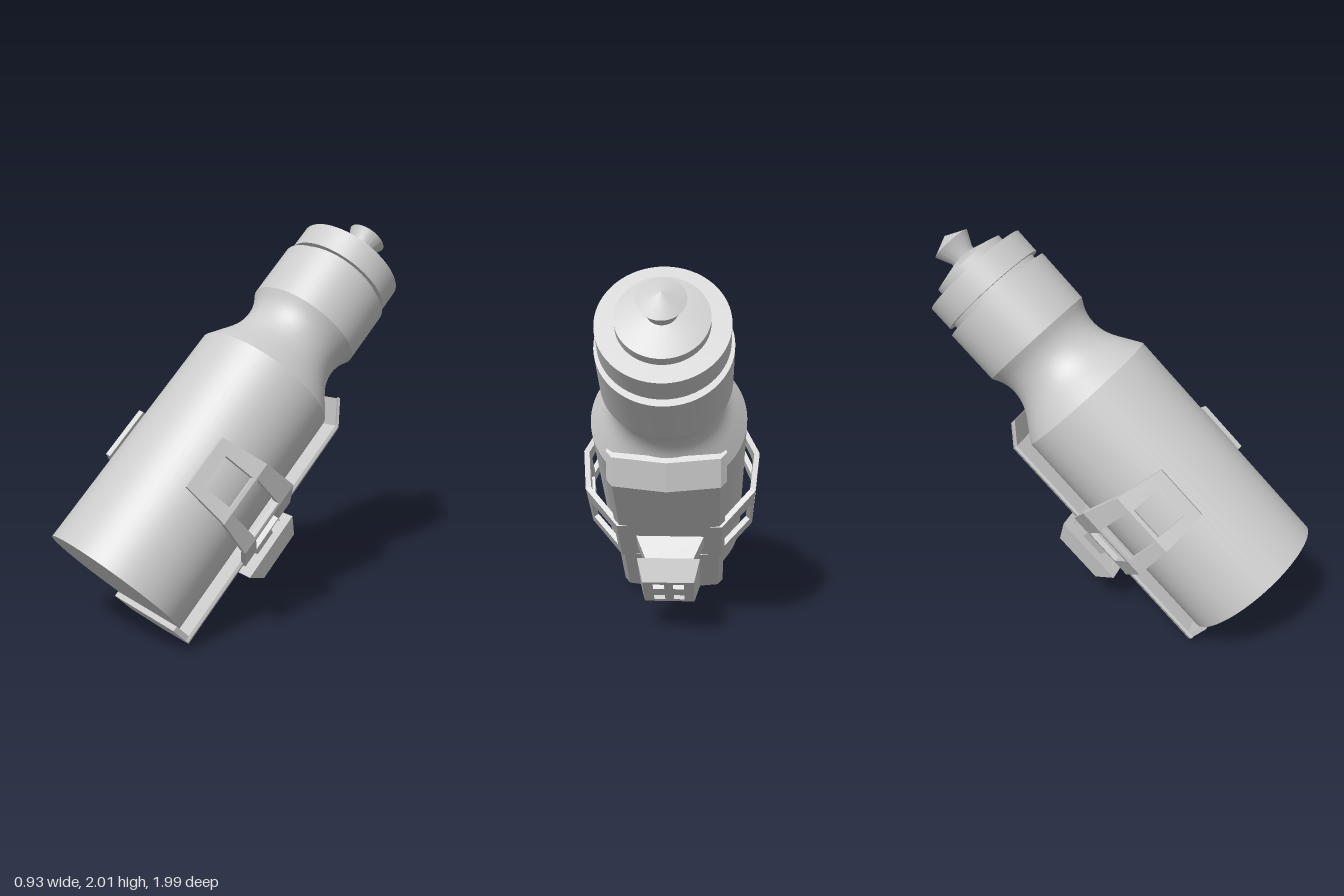
import * as THREE from 'three';
import { toCreasedNormals } from 'three/addons/utils/BufferGeometryUtils.js';

const material = new THREE.MeshStandardMaterial({ color: 0xcccccc });
const V2 = (x, y) => new THREE.Vector2(x, y);

function add(parent, name, geometry) {
  const mesh = new THREE.Mesh(geometry, material);
  mesh.name = name;
  parent.add(mesh);
  return mesh;
}

function lathe(points) {
  const g = new THREE.LatheGeometry(points.map(([r, y]) => V2(r, y)), 64);
  return toCreasedNormals(g, 0.45);
}

const shapeOf = (points) => new THREE.Shape(points.map(([x, y]) => V2(x, y)));

// Extrudes an outline (x, distance behind the bottle axis) along the bottle from y0 to y1.
function extrudeAlong(points, y0, y1) {
  const g = new THREE.ExtrudeGeometry(shapeOf(points), { depth: y1 - y0, bevelEnabled: false });
  return g.rotateX(-Math.PI / 2).translate(0, y0, 0);
}

// Box whose outer (-z) end has its own width and height.
function frustum(w0, h0, w1, h1, depth) {
  const g = new THREE.BoxGeometry(w0, h0, depth);
  const p = g.attributes.position;
  for (let i = 0; i < p.count; i++) {
    if (p.getZ(i) < 0) p.setXY(i, p.getX(i) * w1 / w0, p.getY(i) * h1 / h0);
  }
  g.computeVertexNormals();
  return g;
}

// Flat framed panel between two upright edges a and b: [x, z, yLow, yHigh].
function framedPanel(a, b, side, margins, low, high) {
  const t = 0.028;
  const start = new THREE.Vector3(a[0] * side, 0, a[1]);
  const u = new THREE.Vector3(b[0] * side, 0, b[1]).sub(start);
  const length = u.length();
  u.normalize();
  const v = new THREE.Vector3(0, 1, 0);
  const w = new THREE.Vector3().crossVectors(u, v);
  const shape = shapeOf([[0, a[2]], [length, b[2]], [length, b[3]], [0, a[3]]]);
  const u0 = margins[0], u1 = length - margins[1];
  shape.holes.push(new THREE.Path([V2(u0, low), V2(u0, high), V2(u1, high), V2(u1, low)]));
  const g = new THREE.ExtrudeGeometry(shape, { depth: t, bevelEnabled: false });
  g.translate(0, 0, side > 0 ? -t : 0);
  return g.applyMatrix4(new THREE.Matrix4().makeBasis(u, v, w).setPosition(start));
}

export function createModel() {
  const model = new THREE.Group();
  model.name = 'bottleInHolder';

  // Everything is built upright, then leaned back
  const tilted = new THREE.Group();
  tilted.name = 'tiltedAssembly';
  tilted.position.set(0, 0.307, 0.726);
  tilted.rotation.x = THREE.MathUtils.degToRad(-45.5);
  model.add(tilted);

  // Bottle with pinched neck
  const bottle = new THREE.Group();
  bottle.name = 'bottle';
  tilted.add(bottle);
  const pinch = new THREE.SplineCurve([
    V2(0.385, 1.283), V2(0.345, 1.345), V2(0.303, 1.41), V2(0.277, 1.47),
    V2(0.268, 1.54), V2(0.28, 1.605), V2(0.308, 1.66),
  ]).getPoints(18).map((p) => [p.x, p.y]);
  add(bottle, 'bottleBody', lathe([[0, 0], [0.385, 0], ...pinch, [0.309, 1.953], [0, 1.953]]));
  add(bottle, 'capSeal', lathe([[0.265, 1.94], [0.265, 2.0]]));
  add(bottle, 'cap', lathe([
    [0, 1.985], [0.293, 1.985], [0.293, 2.118], [0.205, 2.118], [0.205, 2.165], [0.066, 2.205], [0, 2.205],
  ]));
  add(bottle, 'drinkingNozzle', lathe([[0.066, 2.19], [0.07, 2.22], [0.106, 2.295], [0, 2.345]]));

  // Holder: two shallow channel plates joined by a strap
  const holder = new THREE.Group();
  holder.name = 'holder';
  tilted.add(holder);
  const channel = [
    [-0.28, 0.345], [-0.255, 0.365], [0, 0.388], [0.255, 0.365], [0.28, 0.345],
    [0.285, 0.36], [0.257, 0.392], [0, 0.42], [-0.257, 0.392], [-0.285, 0.36],
  ];
  add(holder, 'lowerPlate', extrudeAlong(channel, -0.03, 0.47));
  add(holder, 'upperPlate', extrudeAlong(channel, 0.845, 1.323));
  const tip = extrudeAlong(channel, 1.323, 1.43);
  const p = tip.attributes.position;
  for (let i = 0; i < p.count; i++) {
    if (p.getY(i) > 1.4) p.setZ(i, p.getZ(i) + 0.1);
  }
  tip.computeVertexNormals();
  add(holder, 'upperPlateTip', tip);
  add(holder, 'bottomLip', extrudeAlong([
    [-0.275, 0.25], [0.275, 0.25], [0.275, 0.36], [0.255, 0.385], [0, 0.41], [-0.255, 0.385], [-0.275, 0.36],
  ], -0.03, -0.002));
  add(holder, 'strap', new THREE.BoxGeometry(0.54, 0.405, 0.025)).position.set(0, 0.648, -0.385);

  // Side arms: three framed panels on each side
  const edges = [
    [0.367, 0.265, 0.51, 0.8], [0.467, 0.035, 0.48, 0.837],
    [0.44, -0.2, 0.455, 0.87], [0.27, -0.397, 0.445, 0.85],
  ];
  const windows = [[0.065, 0.02, 0.56, 0.74], [0.015, 0.015, 0.545, 0.75], [0.025, 0.025, 0.545, 0.74]];
  for (const side of [1, -1]) {
    const arm = new THREE.Group();
    arm.name = side > 0 ? 'leftArm' : 'rightArm';
    holder.add(arm);
    windows.forEach(([m0, m1, low, high], i) => {
      add(arm, 'armPanel' + (i + 1), framedPanel(edges[i], edges[i + 1], side, [m0, m1], low, high));
    });
  }

  // Mount: tapered neck and a clamp block with four pockets
  const mount = new THREE.Group();
  mount.name = 'mount';
  mount.position.y = 0.645;
  holder.add(mount);
  add(mount, 'mountNeck', frustum(0.36, 0.15, 0.2, 0.14, 0.19)).position.z = -0.485;

  const block = shapeOf([[-0.16, -0.2], [0.16, -0.2], [0.16, 0.2], [-0.16, 0.2]]);
  for (const x of [-0.062, 0.062]) {
    for (const y of [-0.11, 0.11]) {
      const w = 0.035, h = 0.045;
      block.holes.push(new THREE.Path([
        V2(x - w, y - h), V2(x - w, y + h), V2(x + w, y + h), V2(x + w, y - h),
      ]));
    }
  }
  const clamp = new THREE.ExtrudeGeometry(block, { depth: 0.11, bevelEnabled: false });
  const c = clamp.attributes.position;
  for (let i = 0; i < c.count; i++) {
    if (c.getZ(i) > 0.05) c.setXY(i, c.getX(i) * 0.82, c.getY(i) * 0.72);
  }
  clamp.computeVertexNormals();
  clamp.rotateY(Math.PI).translate(0, -0.005, -0.566);
  add(mount, 'clampBlock', clamp);
  add(mount, 'pocketFloor', new THREE.BoxGeometry(0.28, 0.33, 0.03)).position.set(0, -0.005, -0.59);

  return model;
}
